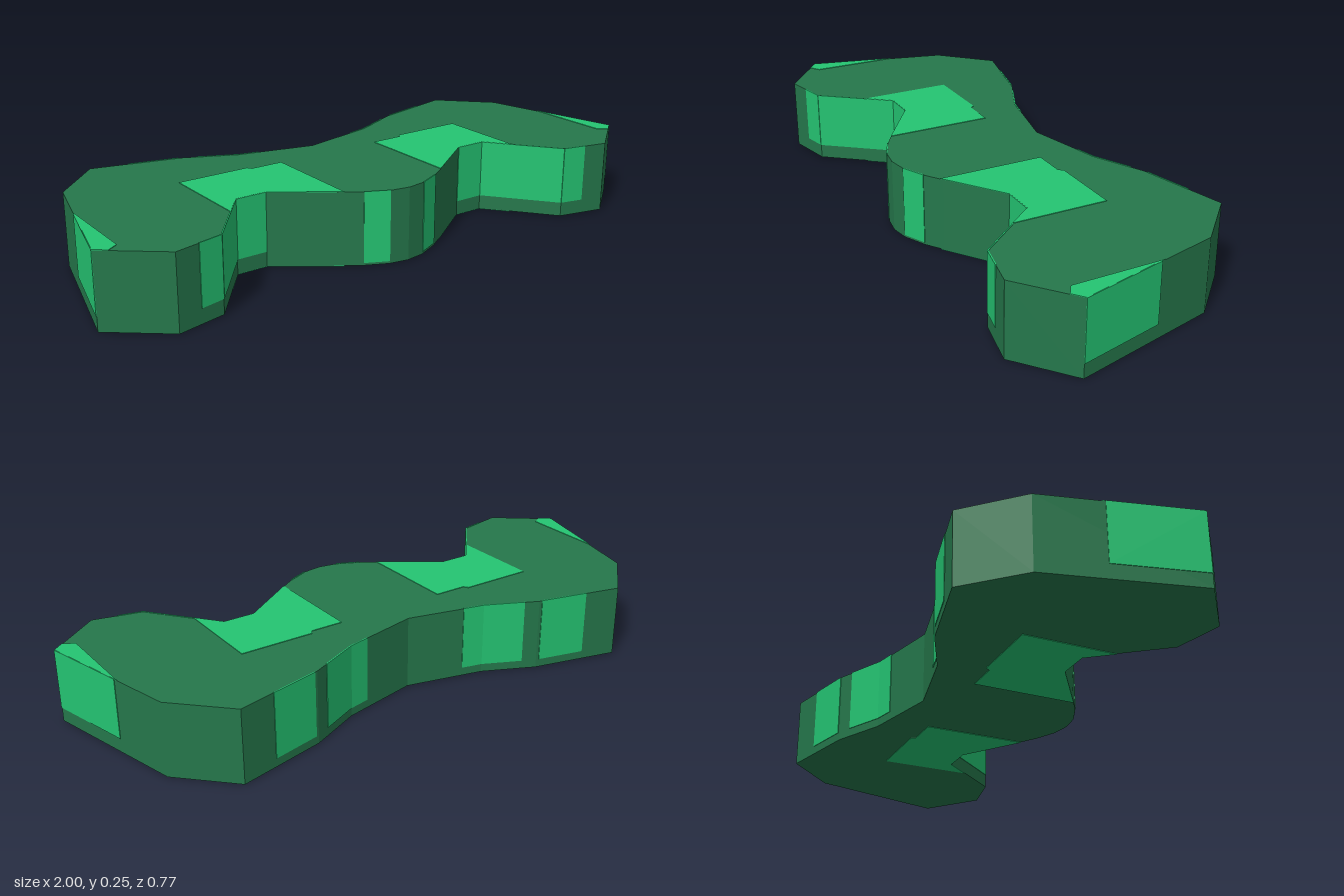
import * as THREE from 'three';

const HEIGHT = 0.245;
const SKIN = 0.002; // how far painted patches stand off the body

// Right half of the plan outline, [x, z], from back centre round to front centre
const HALF = [
  [0, -0.18], [0.26, -0.24], [0.43, -0.32], [0.72, -0.39], [0.88, -0.23],
  [1, 0.245], [0.825, 0.385], [0.665, 0.35], [0.49, 0.13], [0.385, 0.13],
  [0.2, 0.26], [0.14, 0.3], [0.065, 0.335], [0, 0.345],
];

// Patches painted on the top and underside, [x, z]
const BAY = [
  [0.19, -0.085], [0.3, -0.085], [0.31, -0.1], [0.555, -0.1],
  [0.555, 0.212], [0.49, 0.13], [0.385, 0.13], [0.19, 0.267],
];
const TIP = [[0.927, -0.044], [1, 0.245], [0.965, 0.273], [0.93, 0.25]];

// Upright panels: outline edge index, start and end x on that edge, lower y
const PANELS = [
  [0, 0.19, 0.26, 0.03], [1, 0.26, 0.385, 0.03], [2, 0.44, 0.6, 0.03],
  [4, 0.93, 1, 0.048],
  [6, 0.745, 0.665, 0.05], [7, 0.665, 0.49, 0.05], [8, 0.49, 0.385, 0.05],
  [11, 0.14, 0.065, 0.01],
];

// Plan shape; z is negated so that rotating it flat restores z
const planShape = (points) =>
  new THREE.Shape(points.map(([x, z]) => new THREE.Vector2(x, -z)));

function slab(points, y0, y1) {
  const geometry = new THREE.ExtrudeGeometry(planShape(points), {
    depth: y1 - y0, bevelEnabled: false,
  });
  return geometry.rotateX(-Math.PI / 2).translate(0, y0, 0);
}

// Thin upright plate lying along one outline edge
function wallPanel([edge, x0, x1, y0], side) {
  const [a, b] = [HALF[edge], HALF[edge + 1]];
  const zAt = (x) => a[1] + ((b[1] - a[1]) * (x - a[0])) / (b[0] - a[0]);
  const dx = (x1 - x0) * side;
  const dz = zAt(x1) - zAt(x0);
  const geometry = new THREE.BoxGeometry(Math.hypot(dx, dz), HEIGHT - y0 - 0.001, SKIN * 2);
  geometry.rotateY(Math.atan2(-dz, dx));
  return geometry.translate(((x0 + x1) / 2) * side, (HEIGHT + y0) / 2, (zAt(x0) + zAt(x1)) / 2);
}

export function createModel() {
  const group = new THREE.Group();
  const darkGreen = new THREE.MeshStandardMaterial({ color: 0x25774b });
  darkGreen.name = 'dark green';
  const brightGreen = new THREE.MeshStandardMaterial({ color: 0x24c472 });
  brightGreen.name = 'bright green';

  const add = (name, geometry, material) => {
    const mesh = new THREE.Mesh(geometry, material);
    mesh.name = name;
    group.add(mesh);
  };

  // Winged body, mirrored about x = 0
  const mirrored = HALF.slice(1, -1).reverse().map(([x, z]) => [-x, z]);
  add('body', slab([...HALF, ...mirrored], SKIN, HEIGHT - SKIN), darkGreen);

  // Painted patches on both sides
  for (const side of [1, -1]) {
    const label = side > 0 ? 'left' : 'right';
    const flip = (points) => points.map(([x, z]) => [x * side, z]);
    add(`${label}TopPatch`, slab(flip(BAY), HEIGHT - SKIN, HEIGHT), brightGreen);
    add(`${label}UndersidePatch`, slab(flip(BAY), 0, SKIN), brightGreen);
    add(`${label}TipPatch`, slab(flip(TIP), HEIGHT - SKIN, HEIGHT), brightGreen);
    PANELS.forEach((panel, i) =>
      add(`${label}WallPanel${i + 1}`, wallPanel(panel, side), brightGreen));
  }
  return group;
}
